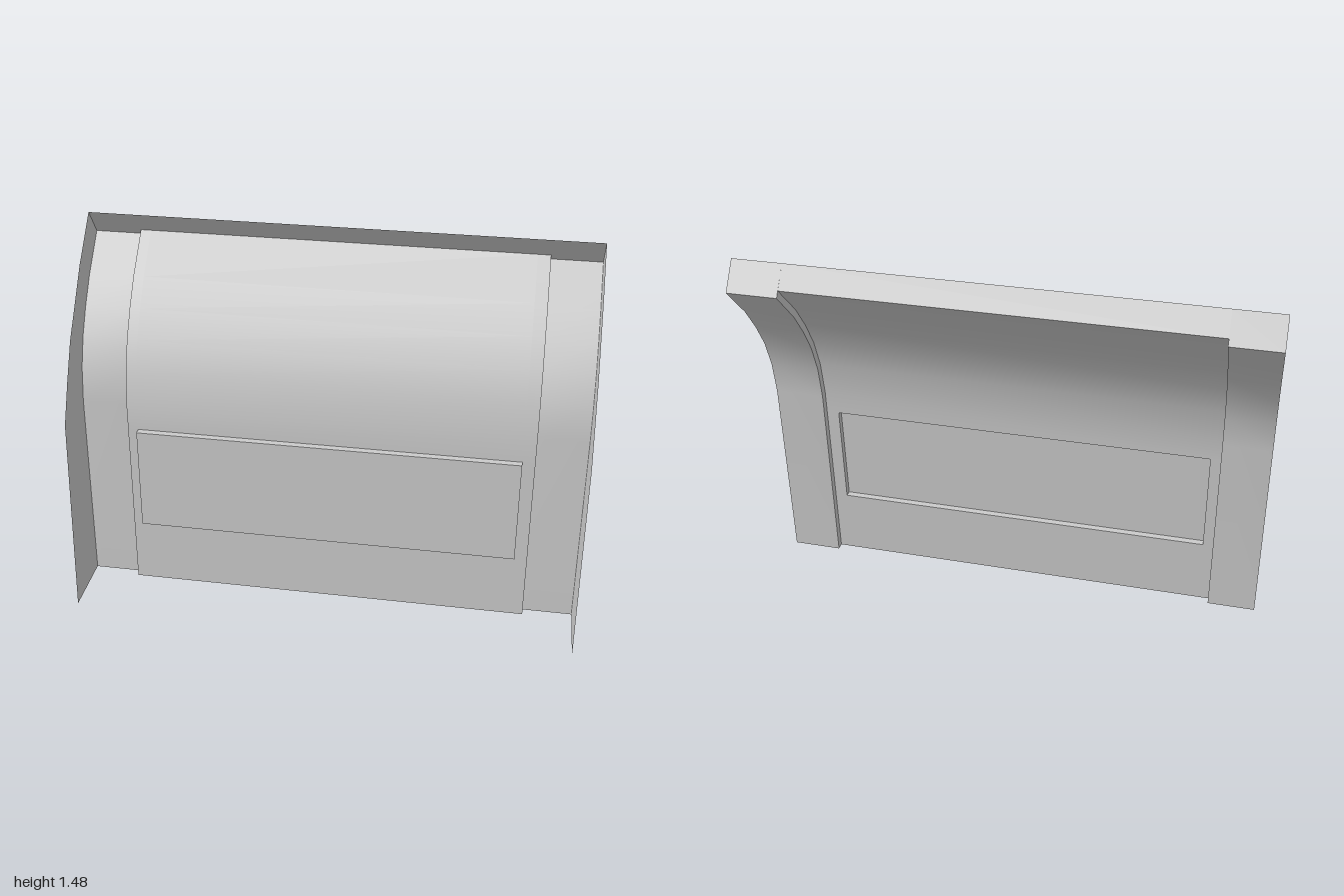
import * as THREE from 'three';

const material = new THREE.MeshStandardMaterial({ color: 0xcccccc, side: THREE.DoubleSide });

// The whole panel is slightly skewed: z grows a little towards +x
const SKEW = 0.0175;
const at = (x, [z, y]) => [x, y, z + SKEW * x];

// Profiles as [z, y], bottom to top
const edge = [[0.064, 0], [0.025, 0.784], [0, 0.92], [-0.046, 1.035], [-0.11, 1.137], [-0.187, 1.236], [-0.324, 1.373]];
const rim = [[0.328, 0], [0.248, 0.792], [0.173, 0.945], [0.098, 1.082], [0.004, 1.2], [-0.09, 1.32], [-0.2475, 1.478]];
const lift = [[0.032, 0], [0.032, 0.002], [0.031, 0.008], [0.028, 0.014], [0.025, 0.018], [0.023, 0.02], [0.017, 0.022]];
const raised = edge.map(([z, y], i) => [z + lift[i][0], y + lift[i][1]]);

const X_STRIP = [-0.81, 0.803];
const X_BOX = [-0.768, 0.753];
const Y_BOX = [0.275, 0.693];
const BOX_DEPTH = 0.028;

// Smooth sheet over a grid of points; columns run left to right in each row
function sheet(name, rows, skip = () => false) {
  const cols = rows[0].length;
  const index = [];
  for (let r = 0; r < rows.length - 1; r++) {
    for (let c = 0; c < cols - 1; c++) {
      if (skip(r, c)) continue;
      const a = r * cols + c, b = a + 1, d = a + cols, e = d + 1;
      index.push(a, b, e, a, e, d);
    }
  }
  const geometry = new THREE.BufferGeometry();
  geometry.setAttribute('position', new THREE.Float32BufferAttribute(rows.flat(2), 3));
  geometry.setIndex(index);
  geometry.computeVertexNormals();
  const mesh = new THREE.Mesh(geometry, material);
  mesh.name = name;
  return mesh;
}

// Sheet stretched between two profiles, each at its own x
const between = (name, xa, a, xb, b) => sheet(name, a.map((p, i) => [at(xa, p), at(xb, b[i])]));

// Point on the straight lower part of the raised profile
function onRaised(y) {
  const [[z0, y0], [z1, y1]] = raised;
  return [z0 + (z1 - z0) * (y - y0) / (y1 - y0), y];
}

export function createModel() {
  const model = new THREE.Group();
  model.name = 'curvedPanel';

  // Raised centre, open behind the box
  const profile = [raised[0], ...Y_BOX.map(onRaised), ...raised.slice(1)];
  const xs = [X_STRIP[0], ...X_BOX, X_STRIP[1]];
  model.add(sheet('centrePanel', profile.map(p => xs.map(x => at(x, p))), (r, c) => r === 1 && c === 1));

  // Edge strips, steps up to the centre, and side flanges
  [-1, 1].forEach((side, i) => {
    const tag = side > 0 ? 'left' : 'right';
    const x = X_STRIP[i];
    const [lo, hi] = side > 0 ? [x, side] : [side, x];
    model.add(between(tag + 'Strip', lo, edge, hi, edge));
    model.add(between(tag + 'Step', x, edge, x, raised));
    model.add(between(tag + 'Flange', side, edge, side, rim));
  });

  // Top flange, notched where the centre is raised
  const top = list => list[list.length - 1];
  const topFlange = new THREE.Group();
  topFlange.name = 'topFlange';
  [[-1, X_STRIP[0], edge], [X_STRIP[0], X_STRIP[1], raised], [X_STRIP[1], 1, edge]].forEach(([a, b, base]) => {
    topFlange.add(sheet('topFlangePart', [top(base), top(rim)].map(p => [at(a, p), at(b, p)])));
  });
  model.add(topFlange);

  // Hollow box standing out from the centre
  const box = new THREE.Group();
  box.name = 'raisedBox';
  const ring = depth => [[0, 0], [1, 0], [1, 1], [0, 1]].map(([i, j]) => {
    const [z, y] = onRaised(Y_BOX[j]);
    return at(X_BOX[i], [z + depth, y]);
  });
  const back = ring(0), front = ring(BOX_DEPTH);
  box.add(sheet('boxFace', [[front[0], front[1]], [front[3], front[2]]]));
  for (let i = 0; i < 4; i++) {
    const j = (i + 1) % 4;
    box.add(sheet('boxWall', [[back[i], back[j]], [front[i], front[j]]]));
  }
  model.add(box);

  return model;
}
